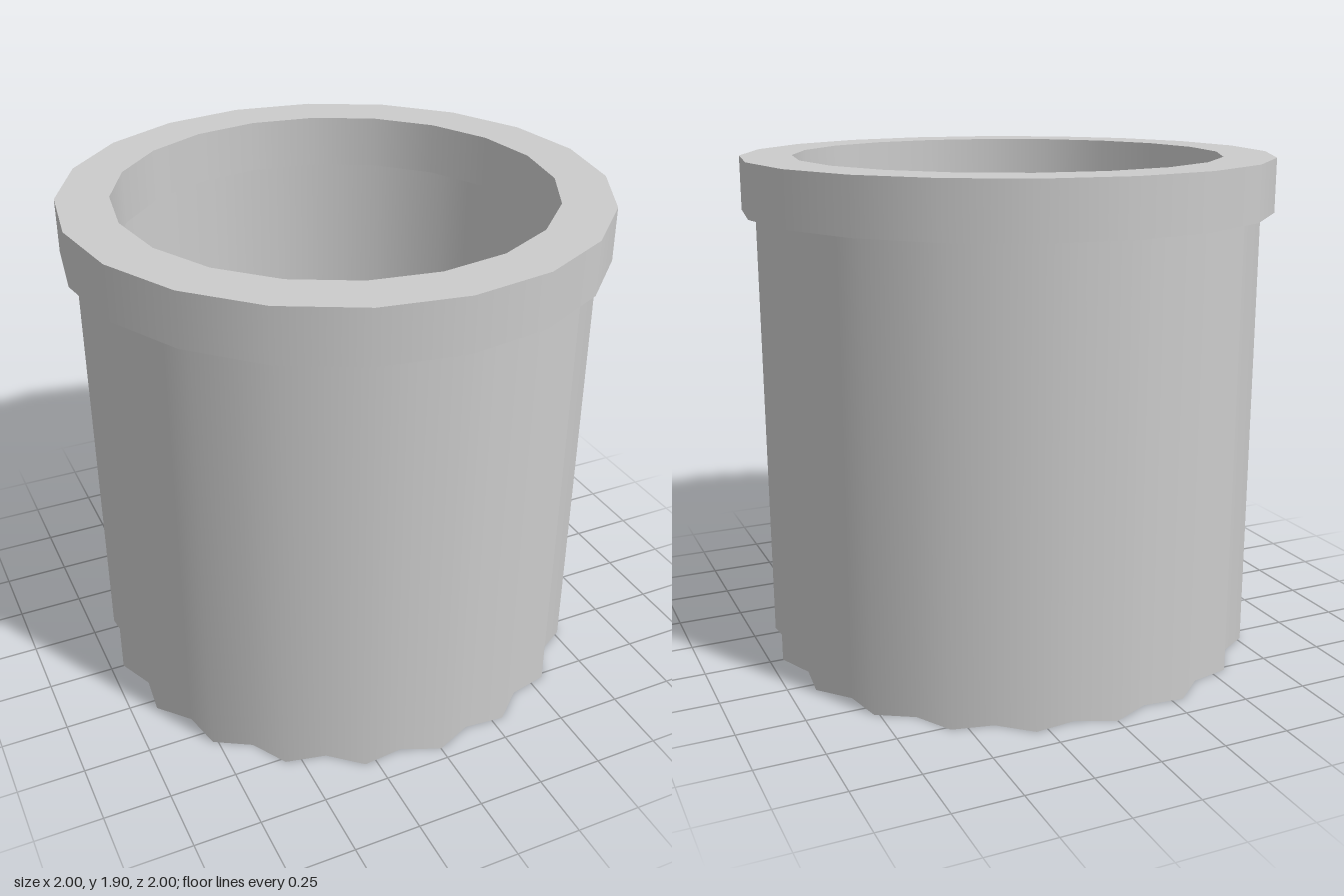
import * as THREE from 'three';

const SIDES = 20;

// Closed ring of points; even points use rOuter, odd points rInner
function ringPoints(count, rOuter, rInner = rOuter) {
  return Array.from({ length: count }, (_, i) => {
    const a = (i / count) * Math.PI * 2;
    const r = i % 2 ? rInner : rOuter;
    return new THREE.Vector2(r * Math.cos(a), r * Math.sin(a));
  });
}

// Hollow ring standing upright from y0 to y1, walls smoothed radially, caps flat
function hollowRing(outer, inner, y0, y1) {
  const shape = new THREE.Shape(outer);
  shape.holes.push(new THREE.Path(inner));
  const geo = new THREE.ExtrudeGeometry(shape, { depth: y1 - y0, bevelEnabled: false });
  geo.rotateX(-Math.PI / 2).translate(0, y0, 0);
  const p = geo.attributes.position, n = geo.attributes.normal;
  for (let i = 0; i < p.count; i++) {
    if (Math.abs(n.getY(i)) > 0.5) continue;
    const x = p.getX(i), z = p.getZ(i);
    const facing = Math.sign(x * n.getX(i) + z * n.getZ(i)) / Math.hypot(x, z);
    n.setXYZ(i, x * facing, 0, z * facing);
  }
  return geo;
}

export function createModel() {
  const group = new THREE.Group();
  const material = new THREE.MeshStandardMaterial({ color: 0xcccccc });

  const add = (name, geometry) => {
    const mesh = new THREE.Mesh(geometry, material);
    mesh.name = name;
    group.add(mesh);
  };

  // Thin fluted wall, open at both ends
  add('flutedBody', hollowRing(
    ringPoints(SIDES * 2, 0.95, 0.9), ringPoints(SIDES * 2, 0.93, 0.88), 0, 1.71));

  // Thick collar around the mouth
  add('rim', hollowRing(ringPoints(SIDES, 1), ringPoints(SIDES, 0.807), 1.7, 1.9));

  return group;
}
